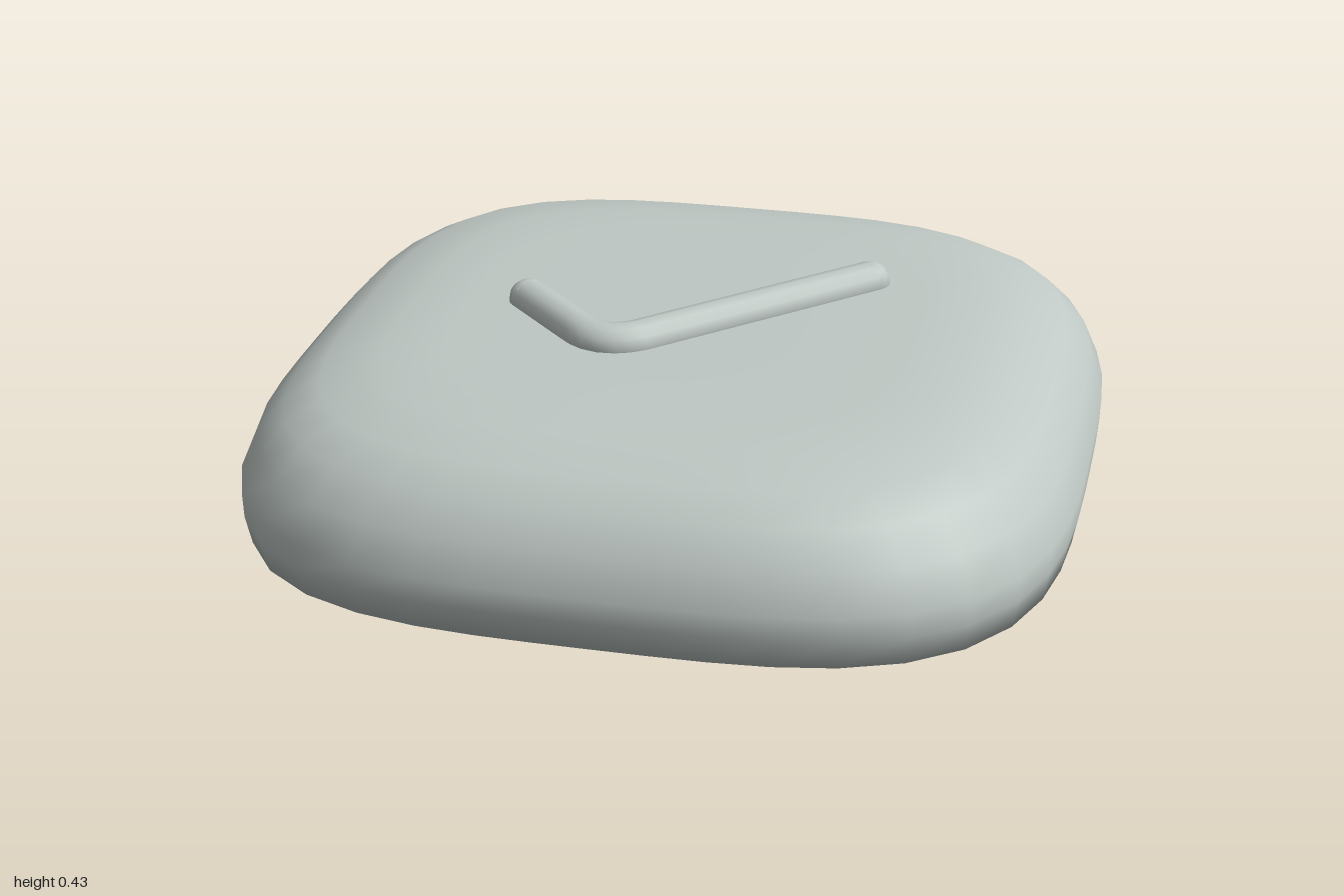
import * as THREE from 'three';

const SIDES = 48;

// Rounded-square outline point: a superellipse of the given half-width
function outline(angle, half, power) {
  const c = Math.cos(angle), s = Math.sin(angle);
  const k = half / Math.pow(Math.abs(c) ** power + Math.abs(s) ** power, 1 / power);
  return [c * k, s * k];
}

// Closed smooth body lofted through [half-width, height, power] rings
function loft(rings) {
  const pos = [], index = [];
  for (const [half, y, power] of rings) {
    for (let i = 0; i < SIDES; i++) {
      const [x, z] = outline((i / SIDES) * Math.PI * 2, half, power);
      pos.push(x, y, z);
    }
  }
  for (let r = 0; r < rings.length - 1; r++) {
    for (let i = 0; i < SIDES; i++) {
      const j = (i + 1) % SIDES;
      const a = r * SIDES + i, b = r * SIDES + j;
      index.push(a, a + SIDES, b, b, a + SIDES, b + SIDES);
    }
  }
  // Flat underside and top, sharing the ring vertices
  const last = (rings.length - 1) * SIDES;
  const bottom = pos.length / 3, top = bottom + 1;
  pos.push(0, rings[0][1], 0, 0, rings[rings.length - 1][1], 0);
  for (let i = 0; i < SIDES; i++) {
    const j = (i + 1) % SIDES;
    index.push(bottom, i, j, top, last + j, last + i);
  }
  const geo = new THREE.BufferGeometry();
  geo.setAttribute('position', new THREE.Float32BufferAttribute(pos, 3));
  geo.setIndex(index);
  geo.computeVertexNormals();
  return geo;
}

export function createModel() {
  const model = new THREE.Group();
  model.name = 'checkButton';
  const grey = new THREE.MeshStandardMaterial({ color: 0xbfc8c4 });
  grey.name = 'paleGrey';

  function add(name, geometry, parent) {
    const mesh = new THREE.Mesh(geometry, grey);
    mesh.name = name;
    parent.add(mesh);
    return mesh;
  }

  // Pillow-shaped base
  add('base', loft([
    [0.985, 0, 3.4], [0.998, 0.07, 3.4], [1, 0.13, 3.4], [0.963, 0.22, 3.4],
    [0.9, 0.29, 3.4], [0.82, 0.338, 3.4], [0.69, 0.366, 3.3],
    [0.55, 0.37, 3.1], [0.28, 0.37, 2.8],
  ]), model);

  // Raised check mark: two straight arms with a rounded bend
  const check = new THREE.Group();
  check.name = 'checkMark';
  model.add(check);
  const R = 0.05, Y = 0.376;
  const start = new THREE.Vector3(-0.405, Y, -0.012);
  const bendIn = new THREE.Vector3(-0.22, Y, 0.172);
  const corner = new THREE.Vector3(-0.16, Y, 0.23);
  const bendOut = new THREE.Vector3(-0.09, Y, 0.18);
  const end = new THREE.Vector3(0.4, Y, -0.308);

  const path = new THREE.CurvePath();
  path.add(new THREE.LineCurve3(start, bendIn));
  path.add(new THREE.QuadraticBezierCurve3(bendIn, corner, bendOut));
  path.add(new THREE.LineCurve3(bendOut, end));
  add('checkStroke', new THREE.TubeGeometry(path, 40, R, 12, false), check);

  for (const [name, p] of [['shortArmTip', start], ['longArmTip', end]]) {
    add(name, new THREE.SphereGeometry(R, 12, 8), check).position.copy(p);
  }
  return model;
}
